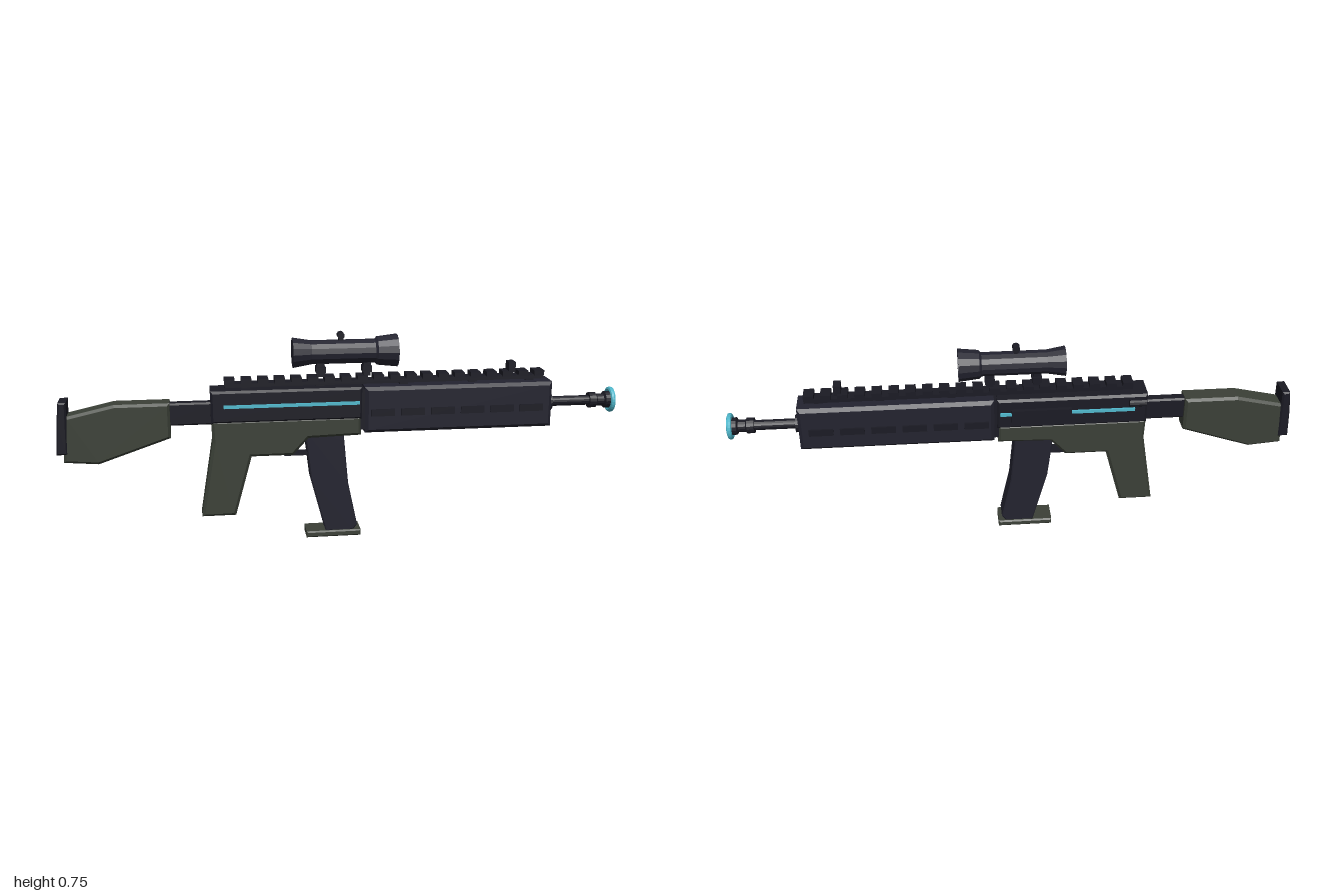
import * as THREE from 'three';

const ZC = 0.009; // centre plane of the body

const gunmetal = new THREE.MeshStandardMaterial({ name: 'gunmetal', color: 0x23232f, flatShading: true });
const black = new THREE.MeshStandardMaterial({ name: 'black', color: 0x1b1b24, flatShading: true });
const olive = new THREE.MeshStandardMaterial({ name: 'olive', color: 0x3b4037, flatShading: true });
const cyan = new THREE.MeshStandardMaterial({ name: 'cyan', color: 0x50b8cc, flatShading: true });

export function createModel() {
  const model = new THREE.Group();
  model.name = 'toyBlaster';

  const add = (name, geometry, material, x = 0, y = 0, z = ZC) => {
    const mesh = new THREE.Mesh(geometry, material);
    mesh.name = name;
    mesh.position.set(x, y, z);
    model.add(mesh);
    return mesh;
  };

  // Side outline extruded across z, with chamfered edges
  const slab = (name, points, width, bevel, material) => {
    const shape = new THREE.Shape(points.map(([x, y]) => new THREE.Vector2(x, y)));
    const geometry = new THREE.ExtrudeGeometry(shape, {
      depth: width - 2 * bevel, bevelEnabled: bevel > 0, bevelThickness: bevel,
      bevelSize: bevel, bevelOffset: -bevel, bevelSegments: 1,
    });
    geometry.translate(0, 0, bevel - width / 2);
    return add(name, geometry, material);
  };

  // Plain box given by its x and y limits
  const box = (name, x0, x1, y0, y1, width, material, z = ZC) =>
    add(name, new THREE.BoxGeometry(x1 - x0, y1 - y0, width), material, (x0 + x1) / 2, (y0 + y1) / 2, z);

  // Chamfered box given by its x and y limits
  const block = (name, x0, x1, y0, y1, width, bevel, material) =>
    slab(name, [[x0, y0], [x1, y0], [x1, y1], [x0, y1]], width, bevel, material);

  // Turned part along x from [x, radius] pairs, listed from -x to +x
  const turned = (name, profile, y, sides, material) => {
    const geometry = new THREE.LatheGeometry(profile.map(([x, r]) => new THREE.Vector2(r, x)), sides);
    geometry.rotateZ(-Math.PI / 2);
    return add(name, geometry, material, 0, y);
  };

  // Receiver and handguard
  block('receiver', -0.47, 0.06, 0.44, 0.555, 0.11, 0.008, black);
  block('handguard', 0.07, 0.75, 0.388, 0.553, 0.114, 0.012, gunmetal);
  box('handguardJoint', 0.05, 0.08, 0.4, 0.545, 0.09, black);
  for (let i = 0; i < 6; i++) {
    const x = 0.09 + i * 0.108;
    for (const side of [-1, 1])
      box('handguardVent', x, x + 0.085, 0.45, 0.475, 0.01, black, ZC + side * 0.058);
  }

  // Lower body with the pistol grip
  slab('lowerBodyAndGrip', [
    [-0.47, 0.45], [-0.467, 0.37], [-0.512, 0.1], [-0.392, 0.1], [-0.332, 0.315],
    [-0.185, 0.315], [-0.13, 0.375], [0.057, 0.38], [0.057, 0.45],
  ], 0.104, 0.01, olive);

  // Trigger and its guard
  box('triggerGuard', -0.215, -0.12, 0.305, 0.315, 0.04, black);
  slab('trigger', [[-0.155, 0.375], [-0.168, 0.335], [-0.158, 0.335], [-0.135, 0.375]], 0.018, 0, black);

  // Curved magazine with its foot plate
  slab('magazine', [
    [-0.14, 0.4], [-0.138, 0.36], [-0.122, 0.22], [-0.07, 0.02],
    [0.03, 0.02], [0.045, 0.04], [0.012, 0.2], [-0.002, 0.36], [-0.002, 0.4],
  ], 0.077, 0.004, gunmetal);
  block('magazineFoot', -0.14, 0.057, 0, 0.023, 0.092, 0.005, olive);

  // Shoulder stock
  block('stockTube', -0.66, -0.46, 0.43, 0.51, 0.04, 0.006, black);
  slab('stock', [
    [-0.61, 0.515], [-0.8, 0.515], [-0.965, 0.478], [-0.978, 0.315],
    [-0.86, 0.305], [-0.61, 0.39],
  ], 0.078, 0.009, olive);
  slab('buttPad', [
    [-0.985, 0.53], [-0.958, 0.53], [-0.962, 0.345], [-1, 0.345], [-0.994, 0.45],
  ], 0.086, 0.006, black);

  // Cyan side stripes and port cover
  box('leftStripe', -0.425, 0.05, 0.495, 0.506, 0.008, cyan, ZC + 0.058);
  box('rightStripe', -0.425, 0.05, 0.495, 0.506, 0.008, cyan, ZC - 0.058);
  box('portCover', -0.2, 0.01, 0.47, 0.518, 0.016, black, ZC - 0.06);

  // Charging knob on the right
  const knob = add('chargingKnob', new THREE.CylinderGeometry(0.013, 0.013, 0.06, 10), black, -0.432, 0.531, -0.058);
  knob.rotation.z = Math.PI / 2;
  box('chargingArm', -0.45, -0.415, 0.522, 0.54, 0.02, black, -0.045);

  // Toothed top rail
  box('rail', -0.42, 0.725, 0.56, 0.574, 0.045, black);
  const teeth = 20;
  for (let i = 0; i < teeth; i++) {
    const x = -0.42 + i * (1.145 - 0.036) / (teeth - 1);
    box('railTooth', x, x + 0.036, 0.572, 0.59, 0.053, black);
  }
  for (const x of [-0.36, -0.1, 0.2, 0.45, 0.66])
    box('railFoot', x, x + 0.03, 0.55, 0.563, 0.03, black);

  // Front sight
  box('frontSight', 0.595, 0.62, 0.585, 0.622, 0.042, black);

  // Scope
  turned('scope', [
    [-0.18, 0], [-0.18, 0.053], [-0.115, 0.042], [0.11, 0.042],
    [0.118, 0.05], [0.19, 0.058], [0.19, 0.053], [0.186, 0.053], [0.186, 0],
  ], 0.674, 14, gunmetal);
  for (const x of [-0.082, 0.082]) {
    box('scopeMount', x - 0.017, x + 0.017, 0.602, 0.623, 0.042, black);
    box('scopeMountStem', x - 0.013, x + 0.013, 0.588, 0.65, 0.029, black);
  }
  const turret = add('scopeTurret', new THREE.CylinderGeometry(0.013, 0.013, 0.028, 10), black, -0.01, 0.732);
  turret.rotation.x = Math.PI / 2;
  box('scopeTurretBase', -0.018, -0.002, 0.7, 0.726, 0.02, black);

  // Barrel and muzzle
  turned('barrel', [
    [0.74, 0], [0.74, 0.032], [0.762, 0.032], [0.762, 0.018], [0.905, 0.018], [0.905, 0.028],
    [0.93, 0.028], [0.935, 0.022], [0.96, 0.022], [0.965, 0.031], [0.998, 0.031], [0.998, 0],
  ], 0.468, 16, black);
  const ring = add('muzzleRing', new THREE.TorusGeometry(0.038, 0.009, 8, 28), cyan, 0.988, 0.468);
  ring.rotation.y = Math.PI / 2;

  return model;
}
